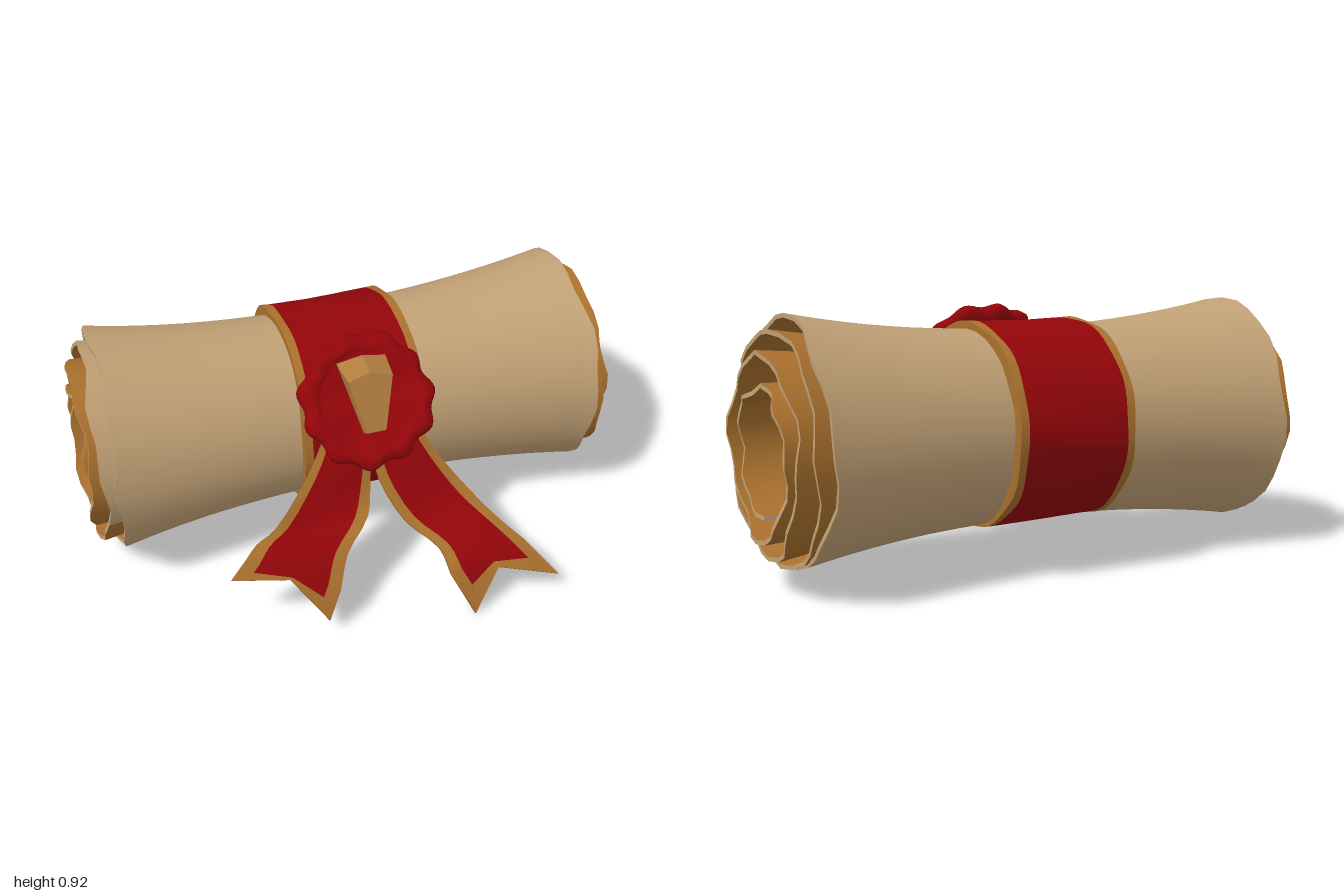
import * as THREE from 'three';
import { ConvexGeometry } from 'three/addons/geometries/ConvexGeometry.js';

const mat = (name, color) =>
  new THREE.MeshStandardMaterial({ name, color, side: THREE.DoubleSide });
const V = (x, y, z) => new THREE.Vector3(x, y, z);
const CY = 0.495, CZ = -0.205; // axis of the roll, which runs along x

// Smooth sheet from a grid of points; pick(i, j) gives the material index of a cell
function sheet(rows, cols, point, pick = () => 0) {
  const pos = [], cells = [[], []];
  for (let i = 0; i < rows; i++)
    for (let j = 0; j < cols; j++) pos.push(...point(i, j).toArray());
  for (let i = 0; i < rows - 1; i++)
    for (let j = 0; j < cols - 1; j++) {
      const a = i * cols + j, b = a + cols;
      cells[pick(i, j)].push(a, b, a + 1, b, b + 1, a + 1);
    }
  const g = new THREE.BufferGeometry();
  g.setAttribute('position', new THREE.Float32BufferAttribute(pos, 3));
  g.setIndex([...cells[0], ...cells[1]]);
  g.addGroup(0, cells[0].length, 0);
  g.addGroup(cells[0].length, cells[1].length, 1);
  g.computeVertexNormals();
  return g;
}

// Radius of the paper spiral per quarter turn: bottom, front, top, back, ...
const SPIRAL = [0.25, 0.228, 0.2, 0.24, 0.322, 0.285, 0.302, 0.313, 0.382,
  0.347, 0.367, 0.362, 0.414, 0.393, 0.418, 0.4, 0.418];
// Half length of the paper, and how much it narrows to the middle, after each turn
const LENGTH = [0.965, 0.985, 0.96, 0.9, 0.875];
const WAIST = [0, 0.08, 0.175, 0.185, 0.185];

function lerpTable(table, q, smooth) {
  const i = Math.min(Math.floor(q), table.length - 2), f = q - i;
  return THREE.MathUtils.lerp(table[i], table[i + 1], smooth ? f * f * (3 - 2 * f) : f);
}

// Point of the paper: q counts quarter turns, u runs from -1 to 1 along the axis
function paperPoint(q, u, depth) {
  const side = u < 0 ? 1.7 : 0;
  const ragged = 0.01 * Math.sin(q * 5.3 + side) + 0.008 * Math.sin(q * 12.7 + side * 3);
  const x = u * (lerpTable(LENGTH, q / 4, false) + ragged);
  const kink = 0.03 * Math.exp(-(((q - 1.7) / 0.2) ** 2));
  const dent = 0.003 * Math.sin(q * 6.1 + u * 3) * Math.abs(u);
  const waist = 1 - lerpTable(WAIST, q / 4, false) * (1 - Math.abs(u) ** 2.2);
  const r = (lerpTable(SPIRAL, q, true) - kink) * waist + dent - depth;
  const a = q * Math.PI / 2;
  return V(x, CY - r * Math.cos(a), CZ + r * Math.sin(a));
}

export function createModel() {
  const paper = mat('paper', 0xc0a075);
  const gold = mat('gold and inner paper', 0xa9702d);
  const emblemGold = mat('emblem gold', 0xb07d3f);
  const red = mat('red', 0x930509);
  const root = new THREE.Group();
  const add = (parent, name, geometry, material) => {
    const m = new THREE.Mesh(geometry, material);
    m.name = name;
    parent.add(m);
    return m;
  };

  // Rolled paper: outer face (dark on the inner turns), inner face and cut edges
  const scroll = new THREE.Group();
  scroll.name = 'scroll';
  root.add(scroll);
  const NQ = 129, NX = 25, THICK = 0.015;
  const qAt = i => 16 * i / (NQ - 1), uAt = j => 2 * j / (NX - 1) - 1;
  const isDark = (i, j) => {
    const q = qAt(i), paleTip = j === 0 && q > 8.7 && q < 10.3;
    return q < 12 && !paleTip ? 1 : 0;
  };
  add(scroll, 'paperOutside', sheet(NQ, NX, (i, j) => paperPoint(qAt(i), uAt(j), 0), isDark), [paper, gold]);
  add(scroll, 'paperInside', sheet(NQ, NX, (i, j) => paperPoint(qAt(i), uAt(j), THICK)), gold);
  for (const u of [-1, 1])
    add(scroll, 'paperEdge', sheet(NQ, 2, (i, j) => paperPoint(qAt(i), u, j * THICK)), paper);
  for (const q of [0, 16])
    add(scroll, 'paperSeam', sheet(NX, 2, (i, j) => paperPoint(q, uAt(i), j * THICK)), paper);

  // Core that closes the roll deep inside
  for (const s of [-1, 1]) {
    const core = add(scroll, 'core', new THREE.CircleGeometry(0.3, 40), gold);
    core.rotation.y = s * Math.PI / 2;
    core.position.set(s * 0.3, CY, CZ);
  }

  // Ribbon band with gold hems, and its side edges down to the paper
  const bandX = [-0.225, -0.195, -0.07, 0.07, 0.195, 0.225];
  const bandPoint = (i, j, drop) => {
    const a = (i / 64) * Math.PI * 2;
    const wave = 0.004 * Math.sin(a * 9 + j) - drop;
    return V(bandX[j] + 0.006 * Math.sin(a * 3),
      0.505 - (0.357 + wave) * Math.cos(a),
      CZ + (0.378 - 0.012 * Math.sin(a) + wave) * Math.sin(a));
  };
  add(root, 'ribbonBand', sheet(65, 6, (i, j) => bandPoint(i, j, 0),
    (i, j) => (j === 0 || j === 4 ? 1 : 0)), [red, gold]);
  for (const k of [0, 5])
    add(root, 'ribbonBandEdge', sheet(65, 2, (i, j) => bandPoint(i, k, j * 0.04)), gold);

  // Ribbon tails: left and right edge of each row, then the forked end
  const tails = [
    { name: 'rightTail',
      left: [V(-0.17, 0.6, 0.18), V(-0.25, 0.48, 0.23), V(-0.39, 0.35, 0.31), V(-0.47, 0.345, 0.36), V(-0.52, 0.31, 0.39)],
      right: [V(0, 0.56, 0.2), V(-0.02, 0.44, 0.25), V(-0.05, 0.33, 0.32), V(-0.16, 0.26, 0.42), V(-0.21, 0.18, 0.5)],
      end: [V(-0.58, 0.25, 0.41), V(-0.38, 0.24, 0.46), V(-0.26, 0.07, 0.53)] },
    { name: 'leftTail',
      left: [V(0, 0.56, 0.2), V(0.01, 0.44, 0.26), V(0.08, 0.3, 0.36), V(0.17, 0.24, 0.47), V(0.19, 0.17, 0.54)],
      right: [V(0.17, 0.6, 0.18), V(0.24, 0.48, 0.24), V(0.33, 0.36, 0.32), V(0.42, 0.26, 0.4), V(0.49, 0.21, 0.49)],
      end: [V(0.27, 0.005, 0.6), V(0.37, 0.16, 0.55), V(0.6, 0.085, 0.58)] },
  ];
  const T = [0, 0.14, 0.5, 0.86, 1], N = 13; // columns, and rows before the fork
  for (const t of tails) {
    const lc = new THREE.CatmullRomCurve3(t.left), rc = new THREE.CatmullRomCurve3(t.right);
    const forkAt = c => (c < 0.5 ? t.end[0].clone().lerp(t.end[1], c * 2)
      : t.end[1].clone().lerp(t.end[2], c * 2 - 1));
    const point = (i, j) => {
      const v = Math.min(i / (N - 1), 1);
      const p = lc.getPoint(v).lerp(rc.getPoint(v), T[j]);
      const wave = 0.012 * Math.sin(v * 9) * Math.sin(T[j] * Math.PI);
      p.add(V(0, wave, wave));
      if (i >= N) p.lerp(forkAt(T[j]), i === N ? 0.5 : 1);
      return p;
    };
    const back = V(0, -0.009, -0.009), R = N + 2;
    const tail = new THREE.Group();
    tail.name = t.name;
    root.add(tail);
    add(tail, 'tailFront', sheet(R, 5, point,
      (i, j) => (j === 0 || j === 3 || i === R - 2 ? 1 : 0)), [red, gold]);
    add(tail, 'tailBack', sheet(R, 5, (i, j) => point(i, 4 - j).add(back)), red);
    // Gold rim between front and back
    const rim = [];
    for (let i = 0; i < R; i++) rim.push(point(i, 0));
    for (let j = 1; j < 5; j++) rim.push(point(R - 1, j));
    for (let i = R - 2; i >= 0; i--) rim.push(point(i, 4));
    add(tail, 'tailRim', sheet(rim.length, 2,
      (i, j) => rim[i].clone().addScaledVector(back, j)), gold);
  }

  // Wax seal: a lathed disc with a scalloped, raised rim
  const profile = [[0, -0.03], [0.19, -0.03], [0.225, -0.018], [0.236, 0.005], [0.225, 0.028],
    [0.198, 0.036], [0.175, 0.028], [0.162, 0.014], [0, 0.014]];
  const wax = new THREE.LatheGeometry(profile.map(p => new THREE.Vector2(...p)), 88);
  const wp = wax.attributes.position;
  for (let i = 0; i < wp.count; i++) {
    const x = wp.getX(i), z = wp.getZ(i), r = Math.hypot(x, z), a = Math.atan2(z, x);
    const k = 1 + (r > 0.18 ? 0.045 * Math.cos(a * 11) + 0.015 * Math.sin(a * 4) : 0);
    wp.setXYZ(i, x * k * 1.02, wp.getY(i) + (r > 0.16 ? 0.005 * Math.sin(a * 5) : 0), z * k);
  }
  wax.computeVertexNormals();
  const seal = add(root, 'waxSeal', wax, red);
  seal.rotation.x = 0.89;
  seal.position.set(0, 0.71, 0.15);

  // Raised gold emblem on the seal
  const emblem = [V(0, 0.85, 0.18), V(0, 0.862, 0.09)];
  for (const s of [-1, 1])
    emblem.push(V(s * 0.035, 0.65, 0.258), V(s * 0.08, 0.828, 0.188),
      V(s * 0.04, 0.637, 0.235), V(s * 0.09, 0.838, 0.08));
  add(root, 'sealEmblem', new ConvexGeometry(emblem), emblemGold);

  return root;
}
